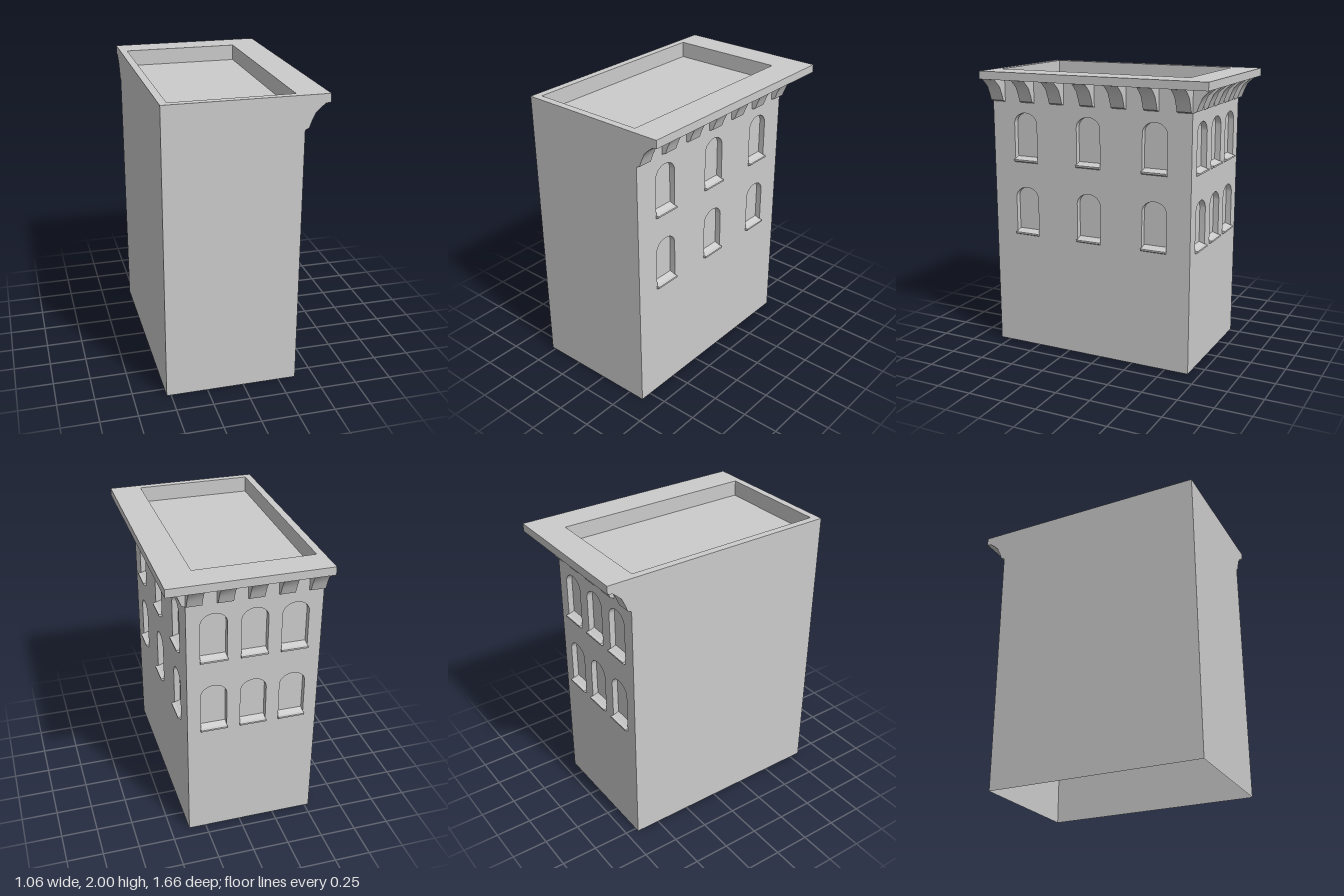
import * as THREE from 'three';
import { toCreasedNormals } from 'three/addons/utils/BufferGeometryUtils.js';

const material = new THREE.MeshStandardMaterial({ color: 0xcccccc, side: THREE.DoubleSide });

// Footprint of the walls, the cornice and the roof well
const LEFT = 0.37, RIGHT = -0.53, FRONT = 0.83, BACK = -0.67;
const OVERHANG = 0.16, TOP = 2, EAVES = 1.945, ROOF = 1.89;
const WELL = { x0: -0.48, x1: 0.32, z0: -0.63, z1: 0.78 };

// Windows
const WIN_W = 0.178, WIN_H = 0.35, ARCH_RISE = 0.075, RECESS = 0.04;
const ROWS = [0.83, 1.358];
const BRACKET_W = 0.1;

function mesh(name, geometry) {
  const m = new THREE.Mesh(geometry, material);
  m.name = name;
  return m;
}

function rectPoints(x0, x1, y0, y1) {
  return [[x0, y0], [x1, y0], [x1, y1], [x0, y1]].map(([x, y]) => new THREE.Vector2(x, y));
}

// Window outline with an elliptical head, counter-clockwise
function archPoints(cx, y) {
  const h = WIN_W / 2, spring = y + WIN_H - ARCH_RISE;
  const pts = [new THREE.Vector2(cx - h, y), new THREE.Vector2(cx + h, y)];
  for (let i = 0; i <= 14; i++) {
    const a = (Math.PI * i) / 14;
    pts.push(new THREE.Vector2(cx + h * Math.cos(a), spring + ARCH_RISE * Math.sin(a)));
  }
  return pts;
}

// Strip joining an outline at depth z = -depth to the same outline at z = 0
function reveal(points, depth) {
  const pos = [];
  points.forEach((a, i) => {
    const b = points[(i + 1) % points.length];
    pos.push(a.x, a.y, 0, a.x, a.y, -depth, b.x, b.y, -depth);
    pos.push(a.x, a.y, 0, b.x, b.y, -depth, b.x, b.y, 0);
  });
  const g = new THREE.BufferGeometry();
  g.setAttribute('position', new THREE.Float32BufferAttribute(pos, 3));
  g.computeVertexNormals();
  return toCreasedNormals(g, 0.6);
}

// Side profile (outward, up) swept across a width centred on x = 0
function sweepProfile(points, width, crease) {
  const shape = new THREE.Shape(points.map(([o, y]) => new THREE.Vector2(o, y)));
  const g = new THREE.ExtrudeGeometry(shape, { depth: width, bevelEnabled: false });
  g.rotateY(-Math.PI / 2);
  g.translate(width / 2, 0, 0);
  return toCreasedNormals(g, crease);
}

const bracketGeometry = sweepProfile([
  [0, 1.78], [0.025, 1.79], [0.042, 1.835], [0.065, 1.885],
  [0.095, 1.914], [0.127, 1.94], [0.16, EAVES], [0, EAVES],
], BRACKET_W, 0.7);

const sillGeometry = sweepProfile([
  [-RECESS, 0], [0, 0], [0.022, 0.01], [0.022, 0.021], [0, 0.023], [-RECESS, 0.037],
], WIN_W + 0.004, 0.1);

// Decorated wall facing +z, centred on x = 0
function facade(name, width, spacing, brackets) {
  const g = new THREE.Group();
  g.name = name;
  const wall = new THREE.Shape(rectPoints(-width / 2, width / 2, 0, EAVES));
  for (const y of ROWS) {
    for (let i = -1; i <= 1; i++) {
      const outline = archPoints(i * spacing, y);
      wall.holes.push(new THREE.Path(outline));
      const pane = mesh('windowPane', new THREE.ShapeGeometry(new THREE.Shape(outline)));
      pane.position.z = -RECESS;
      const sill = mesh('windowSill', sillGeometry);
      sill.position.set(i * spacing, y, 0);
      g.add(pane, mesh('windowReveal', reveal(outline, RECESS)), sill);
    }
  }
  g.add(mesh('windowWall', new THREE.ShapeGeometry(wall)));
  const span = width - BRACKET_W;
  for (let i = 0; i < brackets; i++) {
    const b = mesh('corniceBracket', bracketGeometry);
    b.position.x = -span / 2 + (span * i) / (brackets - 1);
    g.add(b);
  }
  return g;
}

function plainWall(name, width, x, z, turn) {
  const m = mesh(name, new THREE.PlaneGeometry(width, EAVES));
  m.position.set(x, EAVES / 2, z);
  m.rotation.y = turn;
  return m;
}

export function createModel() {
  const building = new THREE.Group();
  building.name = 'building';
  const width = LEFT - RIGHT, depth = FRONT - BACK;
  const midX = (LEFT + RIGHT) / 2, midZ = (FRONT + BACK) / 2;

  // Two windowed walls and two blank party walls; the base stays open
  const side = facade('sideFacade', depth, 0.49, 7);
  side.position.set(LEFT, 0, midZ);
  side.rotation.y = Math.PI / 2;
  const back = facade('backFacade', width, 0.27, 5);
  back.position.set(midX, 0, BACK);
  back.rotation.y = Math.PI;
  building.add(side, back);
  building.add(plainWall('frontWall', width, midX, FRONT, 0));
  building.add(plainWall('blankSideWall', depth, RIGHT, midZ, -Math.PI / 2));

  // Cornice slab around the roof well (shape y maps to -z)
  const slab = new THREE.Shape(rectPoints(RIGHT, LEFT + OVERHANG, -FRONT, -BACK + OVERHANG));
  const well = rectPoints(WELL.x0, WELL.x1, -WELL.z1, -WELL.z0);
  slab.holes.push(new THREE.Path(well));
  const cornice = mesh('cornice', new THREE.ExtrudeGeometry(slab, { depth: TOP - EAVES, bevelEnabled: false }));
  cornice.rotation.x = -Math.PI / 2;
  cornice.position.y = EAVES;

  // Sunken roof and the lower part of its parapet
  const parapet = mesh('parapetInside', reveal(well, EAVES - ROOF));
  parapet.rotation.x = -Math.PI / 2;
  parapet.position.y = EAVES;
  const roof = mesh('roof', new THREE.ShapeGeometry(new THREE.Shape(well)));
  roof.rotation.x = -Math.PI / 2;
  roof.position.y = ROOF;
  building.add(cornice, parapet, roof);

  return building;
}
